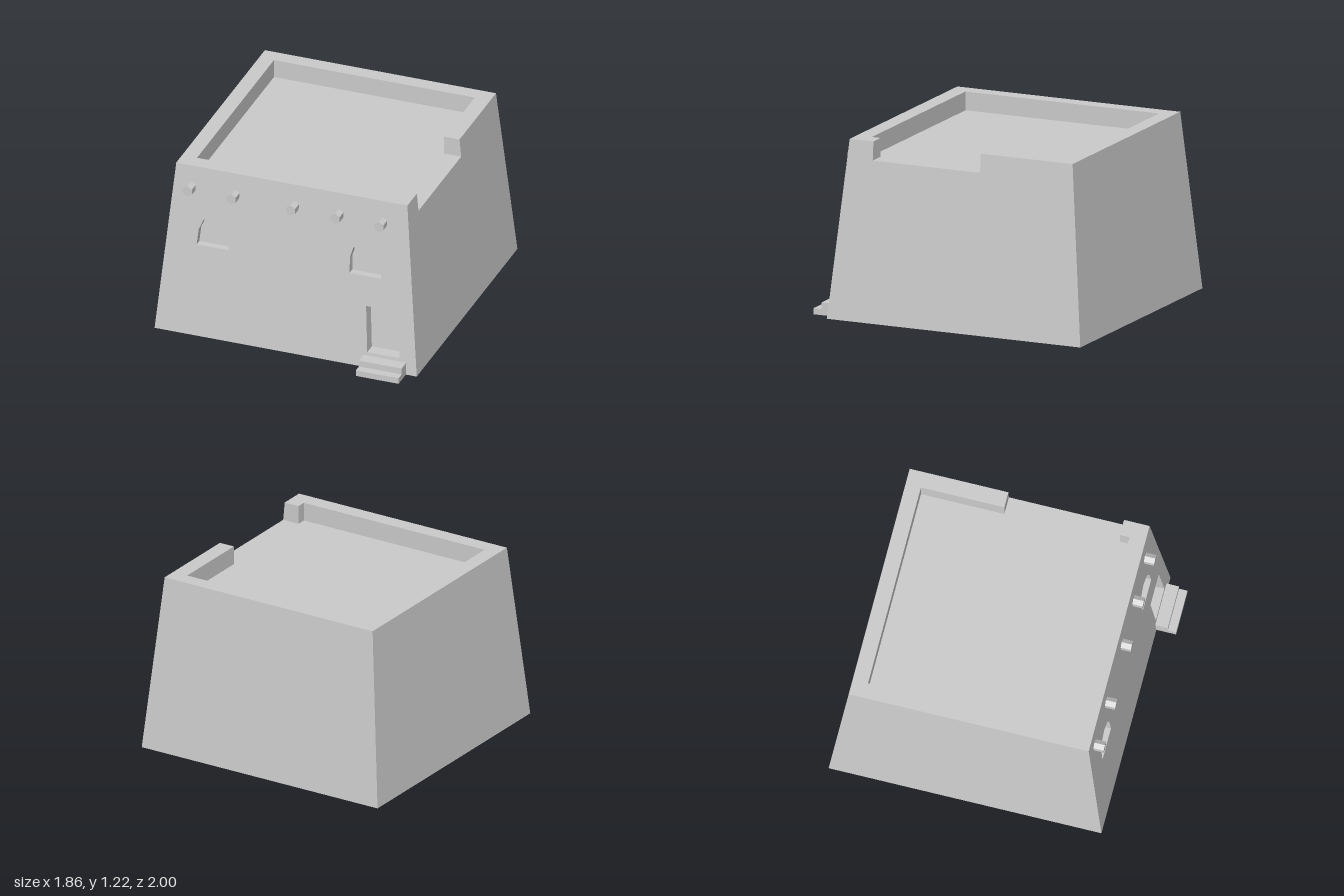
import * as THREE from 'three';

const H = 1.215, ROOF = 1.087;
// Battered walls: half width, front and back depth at height y
const halfX = y => 0.93 - 0.11 * y / H;
const frontZ = y => 0.865 - 0.115 * y / H;
const backZ = y => -1 + 0.11 * y / H;

const material = new THREE.MeshStandardMaterial({ color: 0xcccccc, flatShading: true, side: THREE.DoubleSide });

function addMesh(group, name, geometry) {
  const mesh = new THREE.Mesh(geometry, material);
  mesh.name = name;
  group.add(mesh);
  return mesh;
}

// Flat outline with holes, each point (u, v) placed in space by a rule
function sheet(outline, place, holes = []) {
  const toPoints = list => list.map(p => new THREE.Vector2(p[0], p[1]));
  const shape = new THREE.Shape(toPoints(outline));
  shape.holes = holes.map(h => new THREE.Path(toPoints(h)));
  const geo = new THREE.ShapeGeometry(shape).toNonIndexed();
  const pos = geo.attributes.position;
  for (let i = 0; i < pos.count; i++) pos.setXYZ(i, ...place(pos.getX(i), pos.getY(i)));
  geo.computeVertexNormals();
  return geo;
}

// Strip of quads between two matching rows of points
function ribbon(a, b, closed = false) {
  const out = [];
  const n = a.length;
  for (let i = 0; i < (closed ? n : n - 1); i++) {
    const j = (i + 1) % n;
    out.push(...a[i], ...a[j], ...b[j], ...a[i], ...b[j], ...b[i]);
  }
  const geo = new THREE.BufferGeometry();
  geo.setAttribute('position', new THREE.Float32BufferAttribute(out, 3));
  geo.computeVertexNormals();
  return geo;
}

// Sides and end face that step in or out from an opening in the front wall
function recess(group, name, outline, endZ) {
  const part = new THREE.Group();
  part.name = name;
  const rim = outline.map(([x, y]) => [x, y, frontZ(y)]);
  const end = outline.map(([x, y]) => [x, y, endZ(y)]);
  addMesh(part, name + 'Sides', ribbon(end, rim, true));
  addMesh(part, name + 'Face', sheet(outline, (x, y) => [x, y, endZ(y)]));
  group.add(part);
}

export function createModel() {
  const model = new THREE.Group();
  model.name = 'adobeHouse';

  // Openings in the front wall
  const windowRight = [[0.43, 0.655], [0.655, 0.655], [0.645, 0.765], [0.612, 0.84],
    [0.53, 0.875], [0.45, 0.84], [0.428, 0.765]];
  const windowLeft = windowRight.map(([x, y]) => [-x, y]).reverse();
  const door = [[0.575, 0.11], [0.805, 0.11], [0.78, 0.44], [0.555, 0.44]];
  const beams = [-0.71, -0.4, 0.022, 0.338, 0.648].map(cx =>
    Array.from({ length: 6 }, (_, i) => {
      const a = Math.PI / 2 + i * Math.PI / 3;
      return [cx + 0.038 * Math.cos(a), 1.061 + 0.038 * Math.sin(a)];
    }));

  // Walls
  const X0 = halfX(0), X1 = halfX(H);
  addMesh(model, 'frontWall', sheet([[-X0, 0], [X0, 0], [X1, H], [-X1, H]],
    (x, y) => [x, y, frontZ(y)], [windowLeft, windowRight, door, ...beams]));
  const foot = [], head = [];
  for (const [sx, z] of [[1, backZ], [-1, backZ], [-1, frontZ]]) {
    foot.push([sx * halfX(0), 0, z(0)]);
    head.push([sx * halfX(H), H, z(H)]);
  }
  addMesh(model, 'backAndRightWalls', ribbon(foot, head));

  // Side wall with the gap in the parapet
  const gapBack = -0.215, gapFront = 0.575;
  addMesh(model, 'leftWall', sheet([[-frontZ(0), 0], [-backZ(0), 0], [-backZ(H), H],
    [-gapBack, H], [-gapBack, ROOF], [-gapFront, ROOF], [-gapFront, H], [-frontZ(H), H]],
    (u, y) => [halfX(y), y, -u]));

  // Roof floor, parapet inner faces and parapet top share one plan
  const plan = y => [[halfX(y), gapFront], [0.71, gapFront], [0.71, 0.64], [-0.715, 0.64],
    [-0.715, -0.785], [0.71, -0.785], [0.71, gapBack], [halfX(y), gapBack]];
  const flat = y => (x, v) => [x, y, -v];
  const mirrorZ = list => list.map(([x, z]) => [x, -z]);
  addMesh(model, 'roofFloor', sheet(mirrorZ(plan(ROOF)), flat(ROOF)));
  addMesh(model, 'parapetInside', ribbon(
    plan(ROOF).map(([x, z]) => [x, ROOF, z]), plan(H).map(([x, z]) => [x, H, z])));
  addMesh(model, 'parapetTop', sheet(mirrorZ([...plan(H), [X1, backZ(H)], [-X1, backZ(H)],
    [-X1, frontZ(H)], [X1, frontZ(H)]]), flat(H)));

  // Windows, door and projecting roof beams
  recess(model, 'leftWindow', windowRight, y => frontZ(y) - 0.05);
  recess(model, 'rightWindow', windowLeft, y => frontZ(y) - 0.05);
  recess(model, 'door', door, y => frontZ(y) - 0.085);
  beams.forEach((hex, i) => recess(model, 'roofBeam' + (i + 1), hex, () => 0.833));

  // Door steps, hollow underneath
  const profile = [[1, 0], [1, 0.042], [0.943, 0.042], [0.943, 0.086], [frontZ(0.086), 0.086]];
  const row = x => profile.map(([z, y]) => [x, y, z]);
  const steps = new THREE.Group();
  steps.name = 'doorSteps';
  addMesh(steps, 'treadsAndRisers', ribbon(row(0.55), row(0.853)));
  for (const x of [0.55, 0.853]) {
    addMesh(steps, 'stepSide', sheet([...profile, [frontZ(0), 0]], (z, y) => [x, y, z]));
  }
  model.add(steps);
  return model;
}
